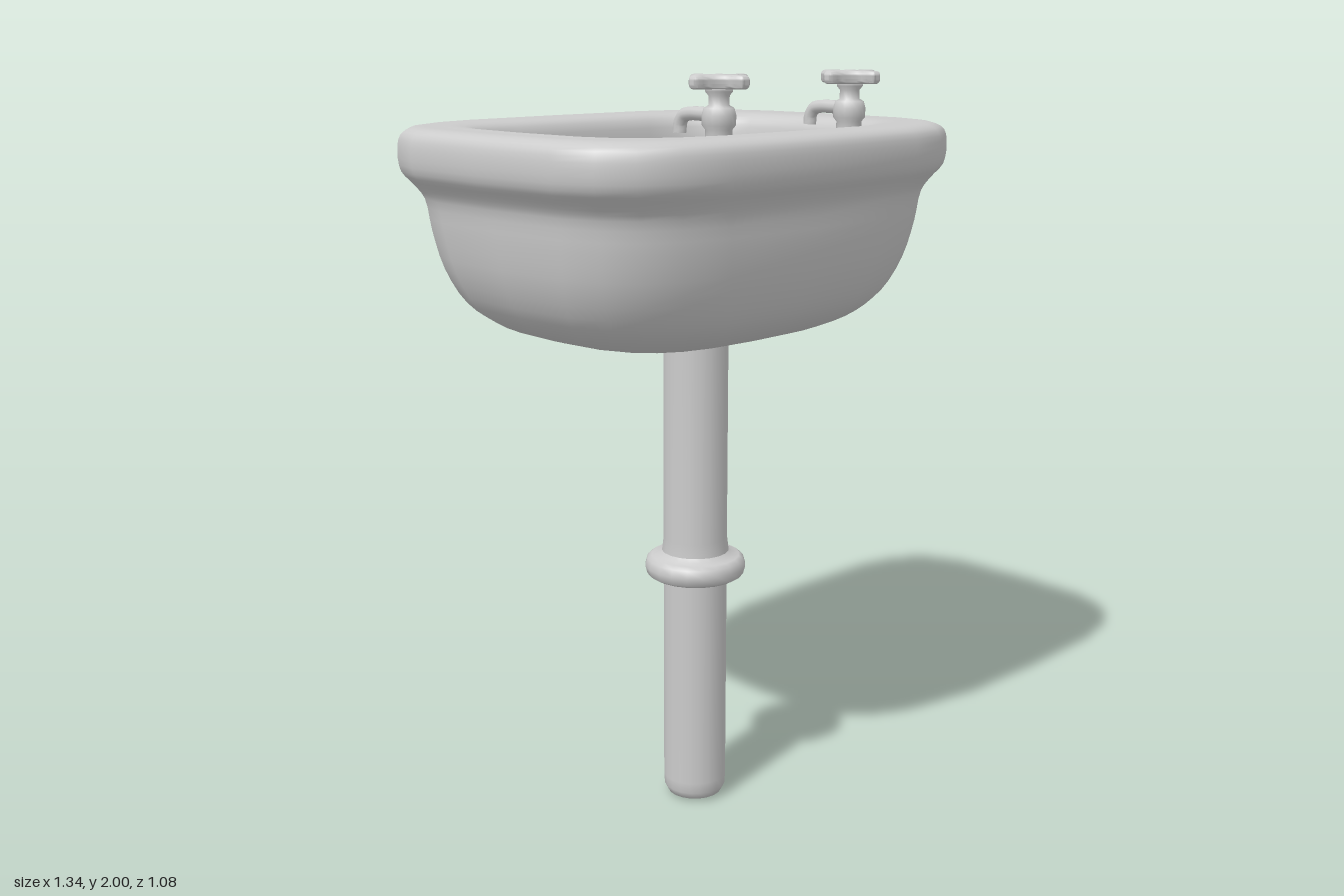
import * as THREE from 'three';
import { toCreasedNormals } from 'three/addons/utils/BufferGeometryUtils.js';

const SIDES = 24;
const material = new THREE.MeshStandardMaterial({ color: 0xcccccc, side: THREE.DoubleSide });

function part(name, geometry, parent, x = 0, y = 0, z = 0) {
  const mesh = new THREE.Mesh(geometry, material);
  mesh.name = name;
  mesh.position.set(x, y, z);
  parent.add(mesh);
  return mesh;
}

function lathe(points, sides) {
  return new THREE.LatheGeometry(points.map(([r, y]) => new THREE.Vector2(r, y)), sides);
}

// Rounded-rectangle rings swept along a profile of [half width, height, half depth]
function basinGeometry() {
  const profile = [
    [0.005, 1.3, 0.005], [0.2, 1.302, 0.17], [0.36, 1.32, 0.28], [0.47, 1.355, 0.365],
    [0.54, 1.41, 0.425], [0.585, 1.5, 0.465], [0.605, 1.6, 0.485], [0.615, 1.68, 0.493],
    [0.637, 1.715, 0.51], [0.664, 1.75, 0.533], [0.67, 1.8, 0.54], [0.662, 1.84, 0.534],
    [0.635, 1.858, 0.51], [0.58, 1.86, 0.46], [0.53, 1.86, 0.42], [0.493, 1.85, 0.385],
    [0.475, 1.82, 0.368], [0.465, 1.72, 0.358], [0.44, 1.58, 0.335], [0.39, 1.47, 0.285],
    [0.3, 1.415, 0.215], [0.16, 1.4, 0.12], [0.005, 1.4, 0.005],
  ];
  const curve = new THREE.CatmullRomCurve3(profile.map((p) => new THREE.Vector3(...p)));
  const rows = (profile.length - 1) * 3;
  const positions = [], index = [];
  for (let i = 0; i <= rows; i++) {
    const p = curve.getPoint(i / rows);
    const power = 2 / (3 + 0.84 * Math.min(1, (p.y - 1.3) / 0.45));
    for (let j = 0; j < SIDES; j++) {
      const a = (j / SIDES) * Math.PI * 2, c = Math.cos(a), s = Math.sin(a);
      positions.push(
        p.x * Math.sign(c) * Math.abs(c) ** power, p.y,
        p.z * Math.sign(s) * Math.abs(s) ** power);
      if (i < rows) {
        const k = (j + 1) % SIDES, r = i * SIDES, n = r + SIDES;
        index.push(r + j, n + j, r + k, r + k, n + j, n + k);
      }
    }
  }
  const geometry = new THREE.BufferGeometry();
  geometry.setAttribute('position', new THREE.Float32BufferAttribute(positions, 3));
  geometry.setIndex(index);
  geometry.computeVertexNormals();
  return geometry;
}

// Four tapering arms with soft tips, lying flat
function handleGeometry() {
  const shape = new THREE.Shape();
  const turn = (x, y, a) => [x * Math.cos(a) - y * Math.sin(a), x * Math.sin(a) + y * Math.cos(a)];
  shape.moveTo(0.083, -0.015);
  for (let i = 0; i < 4; i++) {
    const a = (i * Math.PI) / 2;
    shape.bezierCurveTo(...turn(0.093, -0.012, a), ...turn(0.093, 0.012, a), ...turn(0.083, 0.015, a));
    shape.quadraticCurveTo(...turn(0.02, 0.02, a), ...turn(0.015, 0.083, a));
  }
  const geometry = new THREE.ExtrudeGeometry(shape, {
    depth: 0.008, bevelThickness: 0.012, bevelSize: 0.01, bevelOffset: -0.01,
    bevelSegments: 4, curveSegments: 8,
  });
  geometry.rotateX(-Math.PI / 2);
  return toCreasedNormals(geometry, 0.8);
}

function createTap(name, x) {
  const tap = new THREE.Group();
  tap.name = name;
  tap.position.set(x, 1.86, 0.39);

  part('tapBody', lathe([
    [0.032, -0.01], [0.032, 0.012], [0.04, 0.022], [0.041, 0.045], [0.036, 0.062],
    [0.025, 0.068], [0.025, 0.09], [0.033, 0.1], [0.033, 0.11], [0, 0.112],
  ], 16), tap);
  part('tapHandle', handleGeometry(), tap, 0, 0.118, 0);
  part('handleCap', lathe([[0.028, 0.12], [0.026, 0.133], [0.016, 0.139], [0, 0.14]], 16), tap);

  // Spout reaches back over the bowl and turns down
  const path = new THREE.CatmullRomCurve3([
    [0, 0.045, 0], [0, 0.046, -0.05], [0, 0.046, -0.09], [0, 0.04, -0.117],
    [0, 0.022, -0.13], [0, 0, -0.132],
  ].map((p) => new THREE.Vector3(...p)));
  part('tapSpout', new THREE.TubeGeometry(path, 20, 0.017, 10), tap);
  const tip = part('spoutEnd', new THREE.CircleGeometry(0.017, 10), tap, 0, 0, -0.132);
  tip.rotation.x = Math.PI / 2;
  return tap;
}

export function createModel() {
  const sink = new THREE.Group();
  sink.name = 'pedestalSink';

  part('basin', basinGeometry(), sink);

  // Drain ring with a sunken plug
  const drain = lathe([
    [0.08, 1.39], [0.08, 1.408], [0.074, 1.414], [0.062, 1.414], [0.056, 1.406], [0, 1.404],
  ], 8);
  part('drain', toCreasedNormals(drain, 0.6), sink, -0.015, 0, 0.1);

  // Waste pipe with rounded foot and collar
  part('pipe', lathe([
    [0, 0], [0.05, 0.002], [0.075, 0.01], [0.085, 0.03], [0.087, 0.06],
    [0.087, 0.64], [0.093, 0.68], [0.092, 0.72], [0.087, 0.76], [0.087, 1.34],
  ], 20), sink, -0.03, 0, 0.1);
  part('pipeCollar', lathe([
    [0.085, 0.65], [0.12, 0.65], [0.132, 0.658], [0.138, 0.68], [0.132, 0.7],
    [0.12, 0.709], [0.1, 0.712], [0.085, 0.73],
  ], 20), sink, -0.03, 0, 0.1);

  sink.add(createTap('rightTap', -0.243), createTap('leftTap', 0.227));
  return sink;
}
